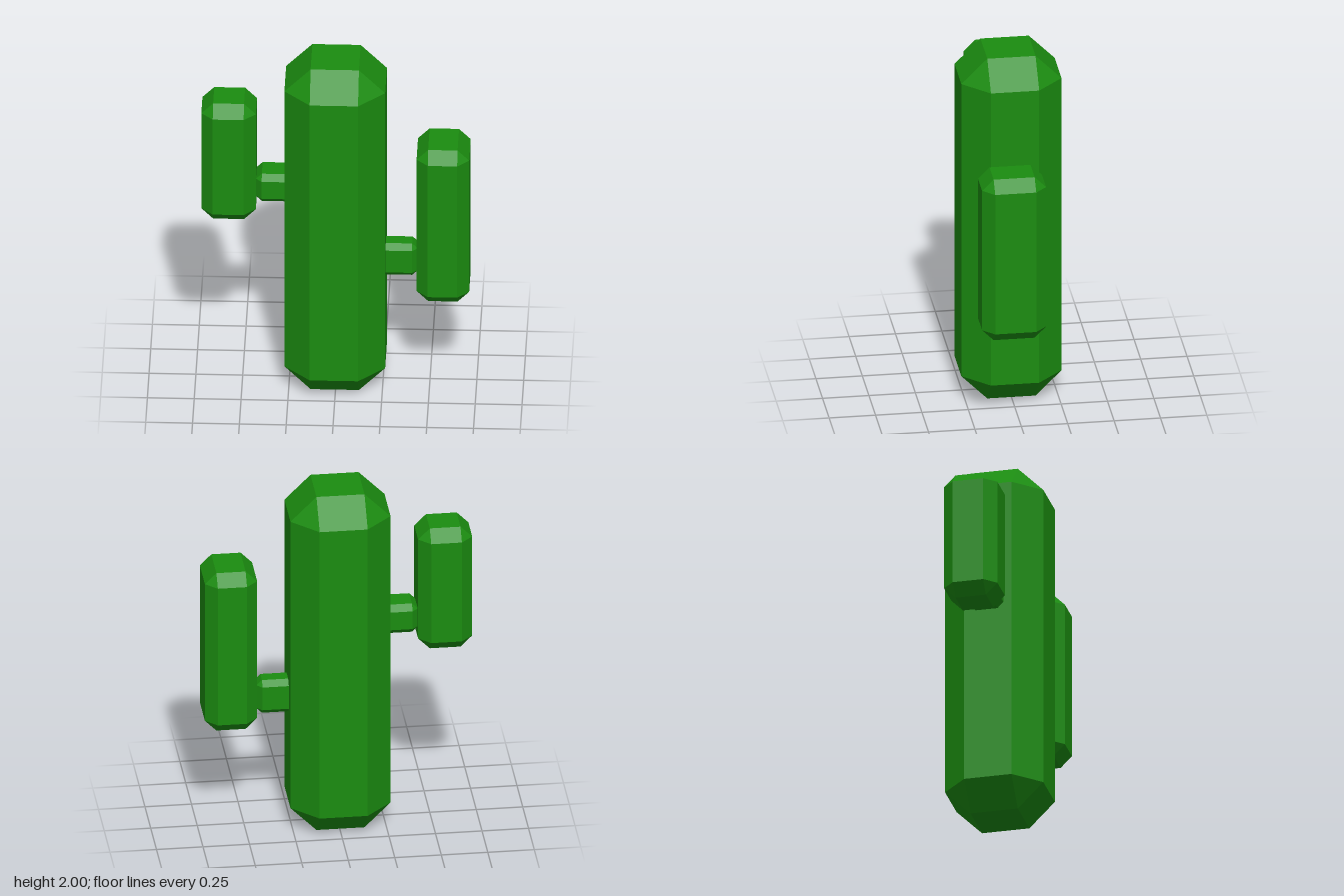
import * as THREE from 'three';
import { ConvexGeometry } from 'three/addons/geometries/ConvexGeometry.js';

const green = new THREE.MeshStandardMaterial({ color: 0x1b8c10, flatShading: true });

// Box with flat bevels on all edges and triangular corners
function chamferedBox(name, min, max, bevel) {
  const centre = min.map((v, i) => (v + max[i]) / 2);
  const half = max.map((v, i) => (v - min[i]) / 2);
  const points = [];
  for (const sx of [-1, 1]) for (const sy of [-1, 1]) for (const sz of [-1, 1]) {
    const sign = [sx, sy, sz];
    // each corner splits into three points, one per adjoining face
    for (let face = 0; face < 3; face++) {
      points.push(new THREE.Vector3(...sign.map((s, i) => s * (half[i] - (i === face ? 0 : bevel)))));
    }
  }
  const mesh = new THREE.Mesh(new ConvexGeometry(points), green);
  mesh.name = name;
  mesh.position.set(...centre);
  return mesh;
}

export function createModel() {
  const cactus = new THREE.Group();
  cactus.name = 'cactus';
  cactus.add(
    chamferedBox('trunk', [-0.273, 0, -0.27], [0.265, 2, 0.27], 0.14),
    // right arm, the higher and shorter one
    chamferedBox('rightArm', [-0.718, 1.028, -0.146], [-0.427, 1.748, 0.147], 0.063),
    chamferedBox('rightArmJoint', [-0.428, 1.125, -0.098], [-0.2, 1.295, 0.085], 0.032),
    // left arm, the lower and longer one
    chamferedBox('leftArm', [0.434, 0.59, -0.112], [0.715, 1.535, 0.233], 0.062),
    chamferedBox('leftArmJoint', [0.2, 0.672, -0.062], [0.436, 0.868, 0.07], 0.03),
  );
  return cactus;
}
